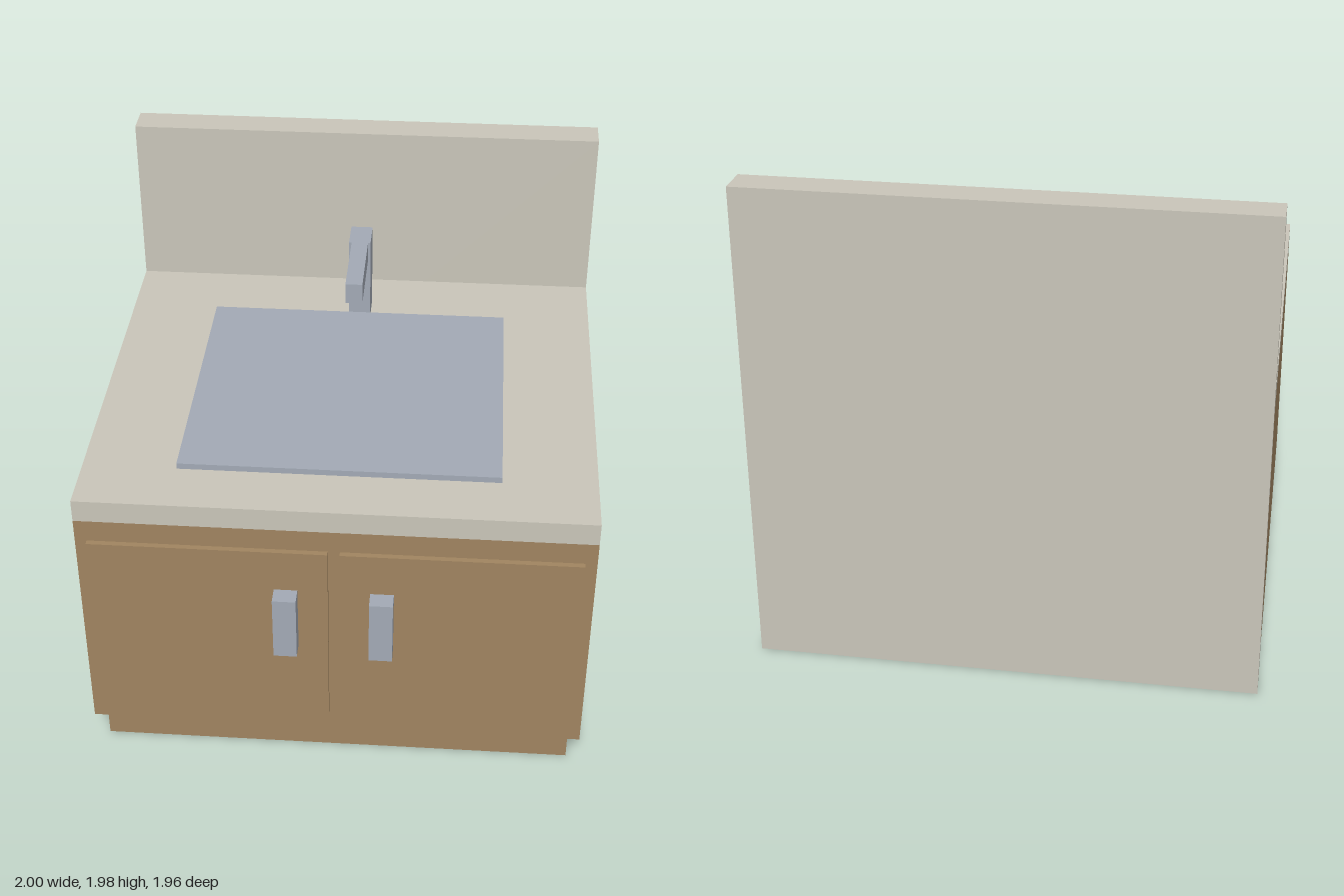
import * as THREE from 'three';

const material = (name, color) => {
  const m = new THREE.MeshStandardMaterial({ color });
  m.name = name;
  return m;
};

export function createModel() {
  const wood = material('brown wood', 0xa08460);
  const stone = material('pale stone', 0xc9c5b9);
  const metal = material('grey metal', 0xa2a9b5);
  const model = new THREE.Group();
  model.name = 'sinkCabinet';

  // Box given by its extents along each axis
  const box = (name, mat, [x0, x1], [y0, y1], [z0, z1], parent = model) => {
    const mesh = new THREE.Mesh(new THREE.BoxGeometry(x1 - x0, y1 - y0, z1 - z0), mat);
    mesh.position.set((x0 + x1) / 2, (y0 + y1) / 2, (z0 + z1) / 2);
    mesh.name = name;
    parent.add(mesh);
  };

  // Cabinet on a recessed plinth
  box('plinth', wood, [-0.955, 0.955], [0, 0.143], [-0.787, 0.838]);
  box('cabinetBody', wood, [-1, 1], [0.143, 1.164], [-0.84, 0.885]);

  // Worktop and tall back panel
  box('countertop', stone, [-1, 1], [1.164, 1.258], [-0.84, 0.885]);
  box('backPanel', stone, [-1, 1], [0, 1.98], [-0.978, -0.84]);

  // Mirrored doors with handles
  for (const [side, s] of [['left', 1], ['right', -1]]) {
    const door = new THREE.Group();
    door.name = `${side}Door`;
    const span = (a, b) => (s > 0 ? [a, b] : [-b, -a]);
    box(`${side}DoorPanel`, wood, span(0.023, 0.954), [0.236, 1.071], [0.885, 0.907], door);
    box(`${side}Handle`, metal, span(0.141, 0.233), [0.608, 0.888], [0.907, 0.978], door);
    model.add(door);
  }

  // Flat basin and square tap
  box('basin', metal, [-0.63, 0.63], [1.258, 1.283], [-0.514, 0.65]);
  const faucet = new THREE.Group();
  faucet.name = 'faucet';
  box('faucetPost', metal, [-0.046, 0.046], [1.258, 1.63], [-0.652, -0.514], faucet);
  box('faucetSpout', metal, [-0.035, 0.035], [1.54, 1.63], [-0.514, -0.164], faucet);
  model.add(faucet);

  return model;
}
